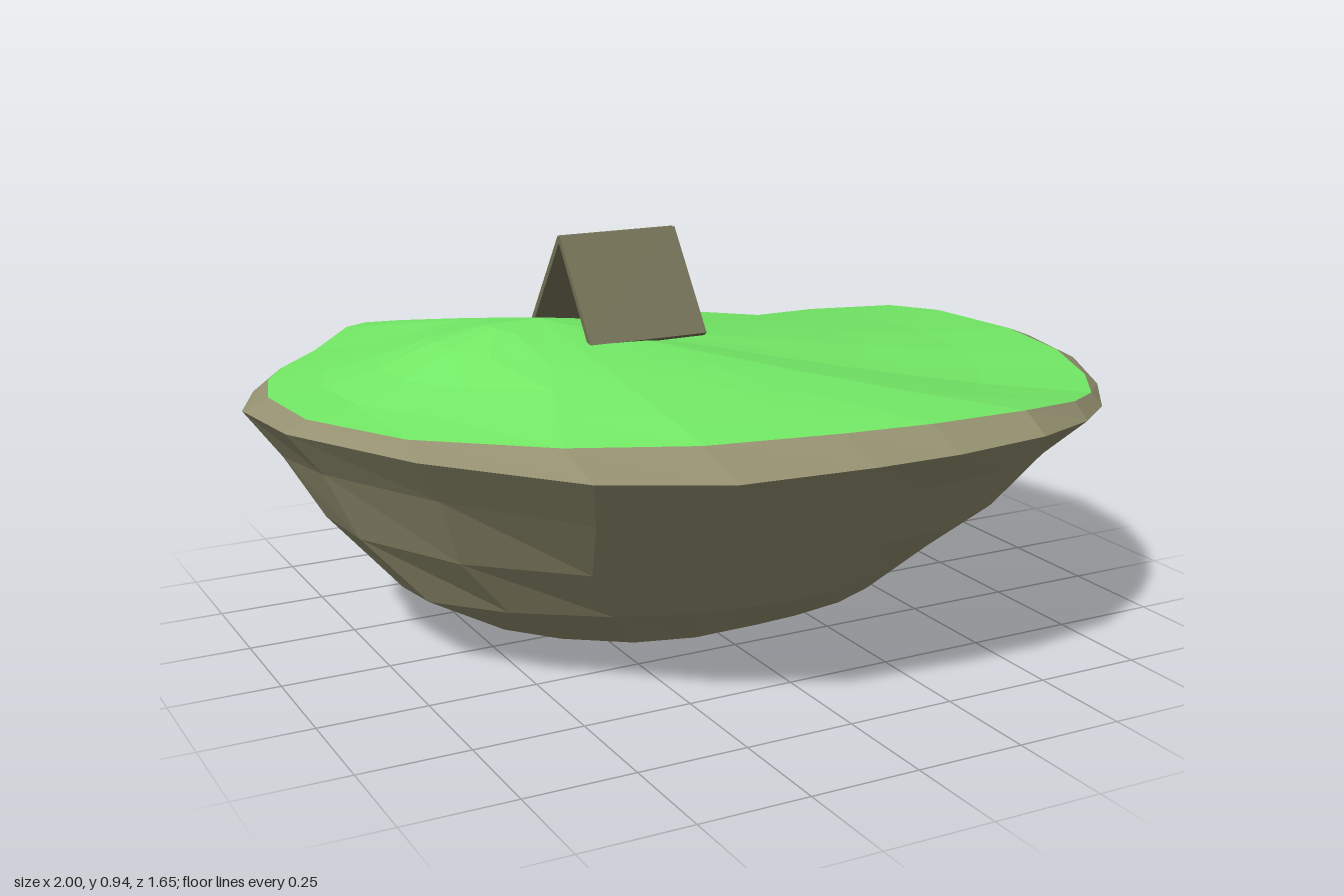
import * as THREE from 'three';

// Island outline seen from above, running left, front, right, back
const RIM = [
  [-1, -0.19], [-0.97, 0.04], [-0.8, 0.37], [-0.55, 0.67], [-0.3, 0.8], [0, 0.825], [0.2, 0.825], [0.45, 0.78],
  [0.66, 0.66], [0.8, 0.54], [0.9, 0.4], [0.97, 0.22], [1, 0], [0.95, -0.27], [0.87, -0.41], [0.73, -0.62],
  [0.59, -0.68], [0.33, -0.71], [0, -0.7], [-0.26, -0.71], [-0.38, -0.76], [-0.5, -0.83], [-0.56, -0.8],
  [-0.72, -0.58], [-0.86, -0.44], [-0.93, -0.35],
];

// Rock layers: height, then width, front, back and rear-spur scale, then shift to the side
const LAYERS = [
  [0.47, 0.92, 0.87, 0.88, 0.93, 0],
  [0.32, 0.84, 0.7, 0.67, 0.88, 0],
  [0.175, 0.71, 0.54, 0.44, 0.79, 0.01],
  [0.06, 0.54, 0.36, 0.26, 0.56, 0.03],
  [0.02, 0.32, 0.17, 0.14, 0.2, 0.08],
  [0, 0, 0, 0, 0, 0.2],
];

const SUMMIT = [-0.34, -0.06, 0.748];

// Soft round bump of height 1 over (cx, cz)
const bump = (x, z, cx, cz, r) => Math.exp(-((x - cx) ** 2 + (z - cz) ** 2) / r ** 2);
const rimHeight = (x, z) => 0.58 - 0.04 * bump(x, z, 0.78, 0.52, 0.3) - 0.05 * bump(x, z, 0.62, -0.68, 0.25);

// Joins closed rings of points into a flat-faceted skin
function skin(rings) {
  const n = rings[0].length, index = [];
  for (let r = 0; r < rings.length - 1; r++) {
    for (let i = 0; i < n; i++) {
      const j = (i + 1) % n, a = r * n, b = a + n;
      index.push(a + i, b + i, b + j, a + i, b + j, a + j);
    }
  }
  const geometry = new THREE.BufferGeometry();
  geometry.setAttribute('position', new THREE.Float32BufferAttribute(rings.flat(2), 3));
  geometry.setIndex(index);
  geometry.computeVertexNormals();
  return geometry;
}

export function createModel() {
  const group = new THREE.Group();
  const paint = (color) => new THREE.MeshStandardMaterial({ color, flatShading: true, side: THREE.DoubleSide });
  const stone = paint(0x949070), green = paint(0x72e865), canvas = paint(0x757257), wood = paint(0x5a5746);
  const add = (name, geometry, material, parent = group) => {
    const mesh = new THREE.Mesh(geometry, material);
    mesh.name = name;
    parent.add(mesh);
    return mesh;
  };

  // Rock: lip (broad at the front left, none at the back), rim, then narrowing layers
  const outer = RIM.map(([x, z]) => [x, rimHeight(x, z), z]);
  const edge = outer.map(([x, y, z]) => [
    x * (1 - 0.06 * x ** 6),
    y + 0.024 + 0.016 * THREE.MathUtils.smoothstep(z, 0.4, 0.8) - 0.015 * bump(x, z, 0.4, -0.7, 0.4),
    z * (z > 0 ? 0.85 + 0.13 * x : 1),
  ]);
  const layers = LAYERS.map(([y, width, front, back, spur, shift], k) => RIM.map(([x, z], i) => {
    const s = Math.exp(-(((x + 0.55) / 0.3) ** 2));
    const depth = z > 0 ? front : back + (spur - back) * s;
    const wobble = k < 3 ? 0.01 * Math.sin(i * 1.3 + k * 1.9) : 0;
    const spurLift = k === 3 && z < -0.3 ? 0.035 * s : 0;
    const skew = k > 1 ? 0.08 * x * width : 0;
    return [x * width + shift, y + wobble + spurLift, z * depth - skew];
  }));
  add('rock', skin([edge, outer, ...layers]), stone);

  // Grass mound: a ridge running front to back, rounded on the left, hollow on the right
  const mound = [0, 0.2, 0.4, 0.6, 0.8, 1].map((t) => edge.map(([x, y, z]) => {
    const dx = x - SUMMIT[0], dz = z - SUMMIT[1];
    const side = dx / Math.hypot(dx, dz);
    const h = (1 - t) ** (0.92 + 0.5 * Math.max(0, side) ** 2)
      + 0.14 * Math.max(0, -side) ** 2 * Math.sin(2 * Math.PI * t);
    return [SUMMIT[0] + dx * t, y * (1 - h) + SUMMIT[2] * h, SUMMIT[1] + dz * t];
  }));
  add('grass', skin(mound), green);

  // Tent: two leaning panels and a pole
  const tent = new THREE.Group();
  tent.name = 'tent';
  group.add(tent);
  for (const [name, z, y] of [['frontPanel', 0.12, 0.712], ['backPanel', -0.205, 0.7]]) {
    const dz = z + 0.038, dy = 0.932 - y;
    const panel = add(name, new THREE.BoxGeometry(0.29, Math.hypot(dz, dy), 0.014), canvas, tent);
    panel.position.set(-0.155, y + dy / 2, z - dz / 2);
    panel.rotation.x = -Math.atan2(dz, dy);
  }
  add('pole', new THREE.BoxGeometry(0.014, 0.2, 0.014), wood, tent).position.set(-0.155, 0.82, -0.035);

  return group;
}
